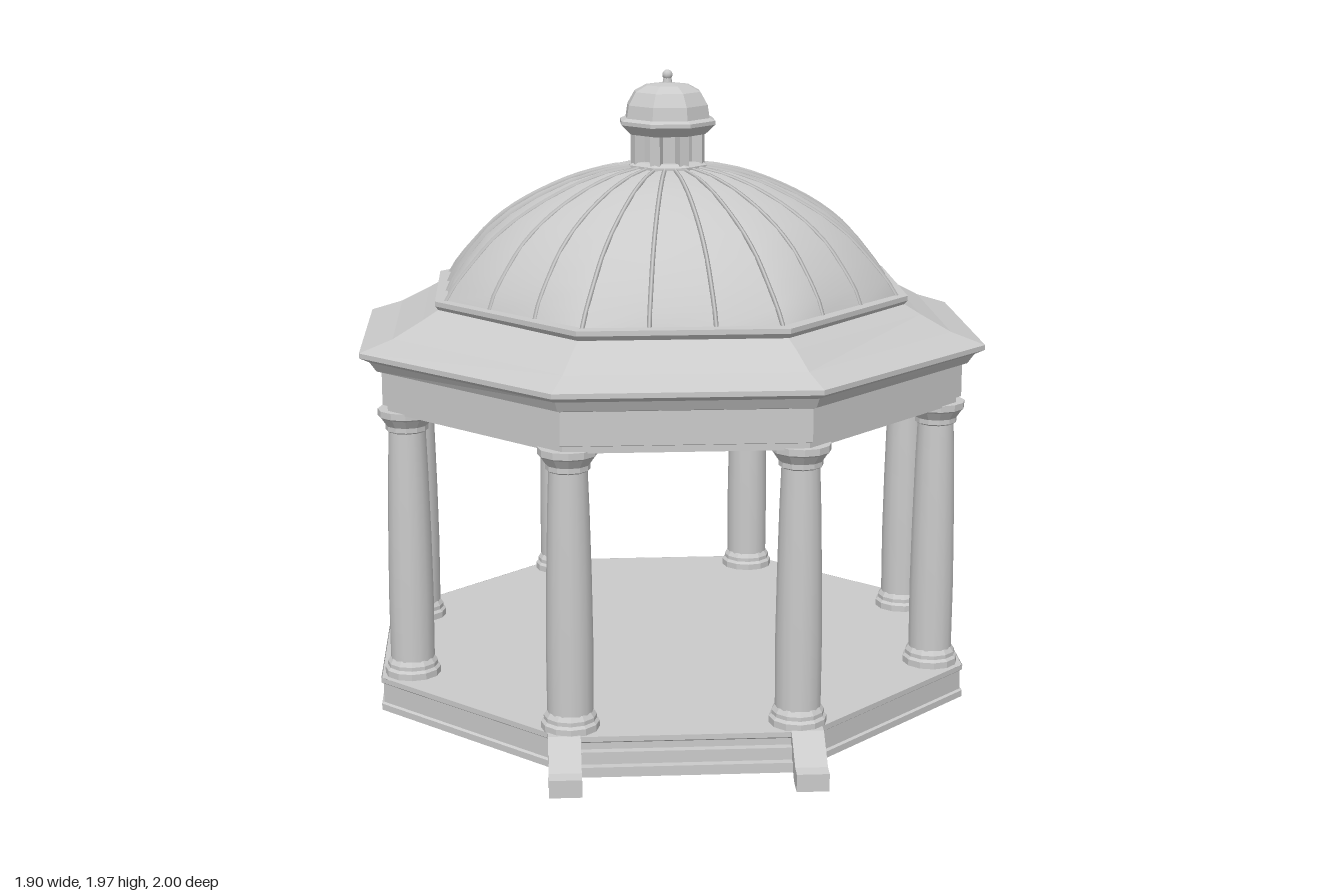
import * as THREE from 'three';

const stone = new THREE.MeshStandardMaterial({ color: 0xcacaca, side: THREE.DoubleSide });
stone.name = 'pale stone';

function add(parent, name, geometry, x = 0, y = 0, z = 0) {
  const mesh = new THREE.Mesh(geometry, stone);
  mesh.name = name;
  mesh.position.set(x, y, z);
  parent.add(mesh);
  return mesh;
}

// Octagon with half-widths ax, az; each edge is split into n pieces
function octagon(ax, az, y, n = 1) {
  const c = 0.42 * az, d = 0.36 * ax;
  const corners = [[-c, az], [c, az], [ax, d], [ax, -d], [c, -az], [-c, -az], [-ax, -d], [-ax, d]];
  const points = [];
  corners.forEach(([x, z], i) => {
    const [x2, z2] = corners[(i + 1) % 8];
    for (let k = 0; k < n; k++) {
      points.push(new THREE.Vector3(x + (x2 - x) * k / n, y, z + (z2 - z) * k / n));
    }
  });
  return points;
}

// Skin a stack of equal-length closed rings
function loft(rings, smooth = false) {
  const n = rings[0].length, index = [];
  for (let j = 0; j < rings.length - 1; j++) {
    for (let i = 0; i < n; i++) {
      const a = j * n + i, b = j * n + (i + 1) % n;
      index.push(a, b, b + n, a, b + n, a + n);
    }
  }
  let g = new THREE.BufferGeometry().setFromPoints(rings.flat());
  g.setIndex(index);
  if (!smooth) g = g.toNonIndexed();
  g.computeVertexNormals();
  return g;
}

const octLoft = (profile) => loft(profile.map(([ax, az, y]) => octagon(ax, az, y)));

// Lathe with flat facets and creased bands
function turned(profile, sides) {
  const g = new THREE.LatheGeometry(profile.map(([r, y]) => new THREE.Vector2(r, y)), sides).toNonIndexed();
  g.computeVertexNormals();
  return g;
}

function makeColumn() {
  const column = new THREE.Group();
  column.name = 'column';
  add(column, 'columnFoot', turned([[0.086, 0.14], [0.086, 0.16], [0.078, 0.168], [0.078, 0.18], [0.068, 0.195]], 12));
  add(column, 'columnShaft', new THREE.LatheGeometry(
    [[0.068, 0.19], [0.069, 0.4], [0.066, 0.6], [0.061, 0.8], [0.056, 0.935]].map(([r, y]) => new THREE.Vector2(r, y)), 16));
  add(column, 'columnCapital', turned([[0.057, 0.92], [0.065, 0.925], [0.065, 0.94], [0.082, 0.965],
    [0.088, 0.97], [0.088, 0.99], [0, 0.99]], 12));
  return column;
}

// Two steps with sloping cheek walls, facing +z
function makeStairs() {
  const stairs = new THREE.Group();
  stairs.name = 'stairs';
  add(stairs, 'lowerStep', new THREE.BoxGeometry(0.64, 0.03, 0.05), 0, 0.048, 0.88);
  add(stairs, 'upperStep', new THREE.BoxGeometry(0.64, 0.04, 0.025), 0, 0.08, 0.868);
  const side = new THREE.Shape([[0.82, 0.09], [0.87, 0.07], [0.935, 0.018], [1, 0.012], [1, 0.065],
    [0.96, 0.07], [0.86, 0.143], [0.82, 0.143]].map(([z, y]) => new THREE.Vector2(z, y)));
  const cheek = new THREE.ExtrudeGeometry(side, { depth: 0.095, bevelEnabled: false });
  cheek.translate(0, 0, -0.0475).rotateY(-Math.PI / 2);
  for (const s of [-1, 1]) add(stairs, 'stairCheek', cheek, s * 0.355, 0, 0);
  return stairs;
}

function makeDome() {
  const dome = new THREE.Group();
  dome.name = 'dome';
  const profile = [[0.69, 1.31], [0.665, 1.36], [0.62, 1.42], [0.56, 1.49], [0.485, 1.55],
    [0.4, 1.6], [0.3, 1.645], [0.2, 1.675], [0.1, 1.69]];
  // Octagonal at the foot, round towards the crown
  const rings = profile.map(([r, y], j) => octagon(r, r, y, 3).map((p) => {
    const a = Math.atan2(p.x, p.z);
    const round = new THREE.Vector3(Math.sin(a) * r * 1.02, y, Math.cos(a) * r * 1.02);
    return p.lerp(round, Math.min(1, j / 5));
  }));
  add(dome, 'domeShell', loft(rings, true));
  for (let i = 0; i < 24; i++) {
    const path = new THREE.CatmullRomCurve3(rings.map((ring) => ring[i]));
    add(dome, 'domeRib', new THREE.TubeGeometry(path, 16, 0.007, 4));
  }
  return dome;
}

function makeCupola() {
  const cupola = new THREE.Group();
  cupola.name = 'cupola';
  add(cupola, 'cupolaBase', octLoft([[0.12, 0.12, 1.67], [0.12, 0.12, 1.695], [0.105, 0.105, 1.705], [0, 0, 1.705]]));
  add(cupola, 'cupolaCore', octLoft([[0.08, 0.08, 1.7], [0.08, 0.08, 1.81]]));
  const post = new THREE.BoxGeometry(0.032, 0.11, 0.032);
  for (const p of octagon(0.094, 0.094, 1.75)) {
    add(cupola, 'cupolaPost', post, p.x, p.y, p.z).rotation.y = Math.atan2(p.x, p.z);
  }
  add(cupola, 'cupolaRoof', octLoft([[0, 0, 1.79], [0.115, 0.115, 1.79], [0.145, 0.145, 1.82], [0.145, 0.145, 1.832],
    [0.128, 0.128, 1.84], [0.122, 0.122, 1.88], [0.1, 0.1, 1.92], [0.065, 0.065, 1.94], [0, 0, 1.948]]));
  add(cupola, 'finialStem', new THREE.CylinderGeometry(0.01, 0.016, 0.035, 8), 0, 1.957, 0);
  add(cupola, 'finialBall', new THREE.SphereGeometry(0.016, 10, 8), 0, 1.97, 0);
  return cupola;
}

export function createModel() {
  const gazebo = new THREE.Group();
  gazebo.name = 'gazebo';

  // Floor on a hollow base wall, open underneath
  add(gazebo, 'floor', octLoft([[0.91, 0.86, 0.14], [0, 0, 0.14]]));
  add(gazebo, 'baseWall', octLoft([[0.885, 0.835, 0.139], [0.885, 0.835, 0.035], [0.912, 0.862, 0.035], [0.912, 0.862, 0.055],
    [0.905, 0.855, 0.06], [0.905, 0.855, 0.12], [0.912, 0.862, 0.125], [0.912, 0.862, 0.14]]));
  const frontStairs = makeStairs();
  const backStairs = makeStairs();
  backStairs.rotation.y = Math.PI;
  gazebo.add(frontStairs, backStairs);

  // One column at each corner
  for (const sx of [-1, 1]) {
    for (const sz of [-1, 1]) {
      for (const [x, z] of [[0.335, 0.775], [0.815, 0.28]]) {
        const column = makeColumn();
        column.position.set(sx * x, 0, sz * z);
        gazebo.add(column);
      }
    }
  }

  // Hollow beam ring with its cornice
  add(gazebo, 'beamRing', octLoft([[0.79, 0.755, 1.12], [0.79, 0.755, 0.985], [0.87, 0.84, 0.985], [0.87, 0.84, 1.005],
    [0.885, 0.855, 1.01], [0.885, 0.855, 1.11], [0.9, 0.87, 1.115], [0.92, 0.885, 1.145], [0.95, 0.91, 1.16], [0.95, 0.91, 1.175]]));
  // Sloping skirt roof and the lip under the dome
  add(gazebo, 'skirtRoof', octLoft([[0.95, 0.91, 1.175], [0.85, 0.83, 1.21], [0.76, 0.76, 1.26], [0.71, 0.71, 1.29]]));
  add(gazebo, 'domeLip', octLoft([[0.67, 0.68, 1.285], [0.71, 0.72, 1.285], [0.722, 0.732, 1.3], [0.722, 0.732, 1.315], [0.67, 0.68, 1.315]]));

  gazebo.add(makeDome(), makeCupola());
  return gazebo;
}
